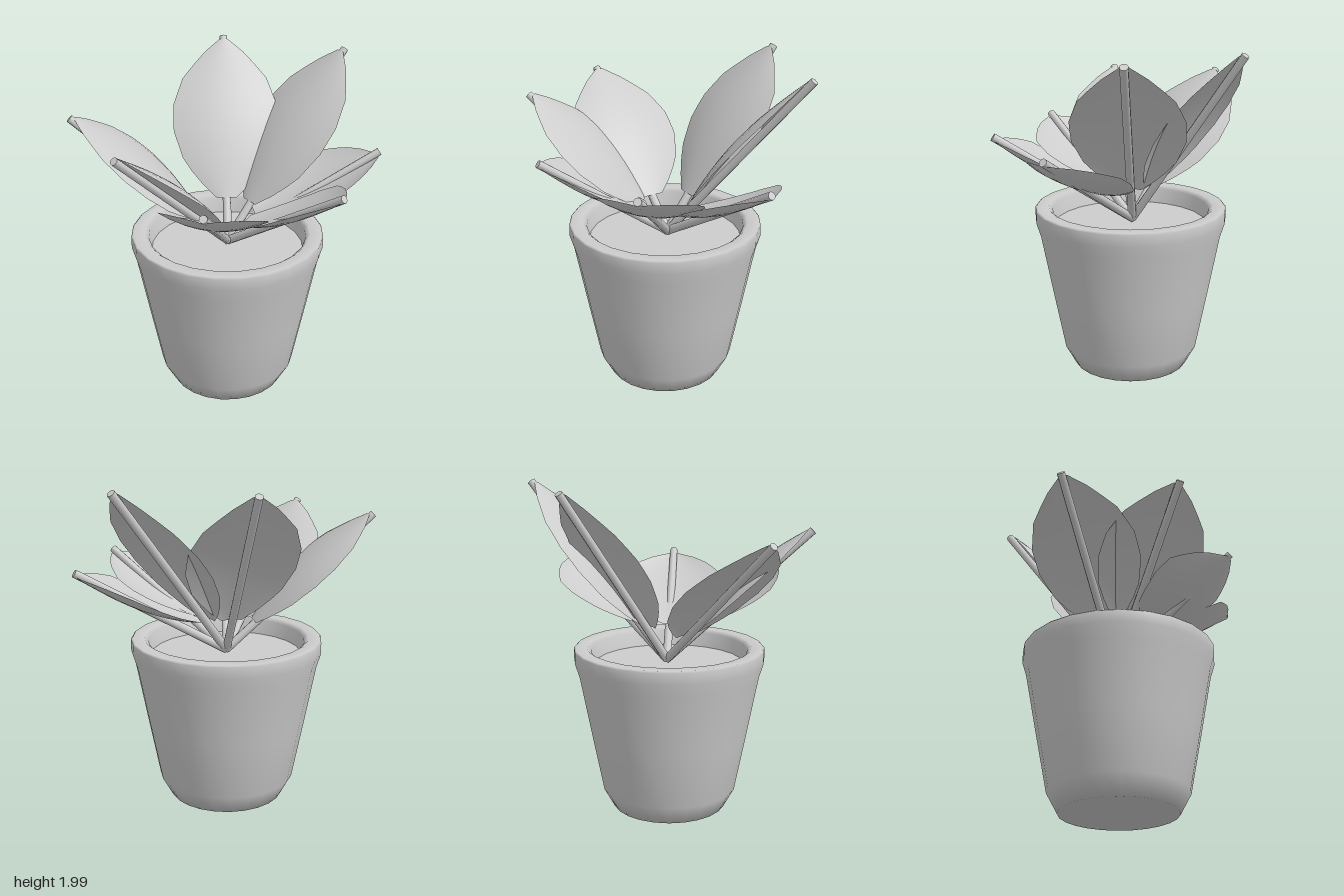
import * as THREE from 'three';

const BASE = new THREE.Vector3(0, 0.93, 0);

// Half width of a blade along its length
function makeWidth(points) {
  return (s) => {
    for (let i = 1; i < points.length; i++) {
      const [s0, w0] = points[i - 1], [s1, w1] = points[i];
      if (s <= s1) return w0 + (w1 - w0) * (s - s0) / (s1 - s0);
    }
    return points[points.length - 1][1];
  };
}

// Upright leaves arch over the rib; low leaves are cupped, with the inner end raised off the rib
const UPRIGHT = {
  start: 0.2, curl: -0.04, thick: 0.012,
  width: makeWidth([[0, 0.06], [0.12, 0.18], [0.25, 0.265], [0.42, 0.32], [0.58, 0.32], [0.75, 0.26], [0.9, 0.14], [1, 0.025]]),
  lift: (s) => 0.025 + 0.045 * Math.sin(Math.PI * s),
};
const LOW = {
  start: 0.22, curl: 0.07, thick: 0.01,
  width: makeWidth([[0, 0.05], [0.12, 0.14], [0.3, 0.235], [0.5, 0.3], [0.66, 0.31], [0.8, 0.24], [0.9, 0.16], [1, 0.03]]),
  lift: (s) => 0.1 * (1 - s) ** 3 - 0.02,
};

// Thin curved solid: upper and lower skins meeting at the rim, swept along the straight rib
function bladeGeometry(tip, { start, curl, thick, width, lift }) {
  const rib = tip.clone().sub(BASE);
  const dir = rib.clone().normalize();
  const side = new THREE.Vector3(dir.z, 0, -dir.x).normalize();
  const up = dir.clone().cross(side).normalize();
  const rows = 12, cols = 8, pos = [], idx = [];
  for (const skin of [1, -1]) {
    const first = pos.length / 3;
    for (let i = 0; i <= rows; i++) {
      const s = i / rows, w = width(s), f = start + (0.98 - start) * s;
      for (let j = 0; j <= cols; j++) {
        const u = (j / cols) * 2 - 1;
        const bulge = skin * thick * (1 - u * u) * Math.sin(Math.PI * s);
        const h = lift(s) + curl * u * u * w / 0.32 + bulge;
        const p = BASE.clone().addScaledVector(rib, f).addScaledVector(side, u * w).addScaledVector(up, h);
        pos.push(p.x, p.y, p.z);
        if (i < rows && j < cols) {
          const a = first + i * (cols + 1) + j, b = a + cols + 1;
          if (skin > 0) idx.push(a, b, a + 1, b, b + 1, a + 1);
          else idx.push(a, a + 1, b, b, a + 1, b + 1);
        }
      }
    }
  }
  const g = new THREE.BufferGeometry();
  g.setAttribute('position', new THREE.Float32BufferAttribute(pos, 3));
  g.setIndex(idx);
  g.computeVertexNormals();
  return g;
}

// Rod from the soil to the leaf tip
function ribGeometry(tip) {
  const rib = tip.clone().sub(BASE);
  const g = new THREE.CylinderGeometry(0.024, 0.026, rib.length(), 8);
  g.applyQuaternion(new THREE.Quaternion().setFromUnitVectors(new THREE.Vector3(0, 1, 0), rib.clone().normalize()));
  g.translate(...BASE.clone().addScaledVector(rib, 0.5).toArray());
  return g;
}

export function createModel() {
  const model = new THREE.Group();
  model.name = 'pottedPlant';
  const grey = new THREE.MeshStandardMaterial({ color: 0xcccccc });
  grey.name = 'plain grey';
  const add = (parent, name, geometry) => {
    const mesh = new THREE.Mesh(geometry, grey);
    mesh.name = name;
    parent.add(mesh);
    return mesh;
  };

  // Pot with rounded foot, thick rim and hollow inside
  const profile = [
    [0, 0], [0.35, 0], [0.415, 0.12], [0.485, 0.48], [0.555, 0.85], [0.58, 0.93],
    [0.58, 1.0], [0.57, 1.01], [0.5, 1.01], [0.475, 0.99], [0.45, 0.84],
  ].map(([r, y]) => new THREE.Vector2(r, y));
  const pot = add(model, 'pot', new THREE.LatheGeometry(profile, 24));
  pot.position.set(-0.005, 0, 0.015);

  // Soil
  const soil = add(model, 'soil', new THREE.CircleGeometry(0.465, 24).rotateX(-Math.PI / 2));
  soil.position.set(-0.005, 0.9, 0.015);

  // Leaves: tip x, y, z and kind
  const leaves = [
    [0.075, 1.98, -0.75, UPRIGHT],
    [0.77, 1.98, -0.4, UPRIGHT],
    [0.91, 1.47, 0.01, LOW],
    [0.55, 1.47, 0.615, LOW],
    [-0.23, 1.47, 0.745, LOW],
    [-0.67, 1.73, 0.53, UPRIGHT],
    [-0.9, 1.73, -0.11, UPRIGHT],
  ];
  for (const [x, y, z, kind] of leaves) {
    const tip = new THREE.Vector3(x, y, z);
    const leaf = new THREE.Group();
    leaf.name = 'leaf';
    add(leaf, 'leafBlade', bladeGeometry(tip, kind));
    add(leaf, 'leafRib', ribGeometry(tip));
    model.add(leaf);
  }
  return model;
}
